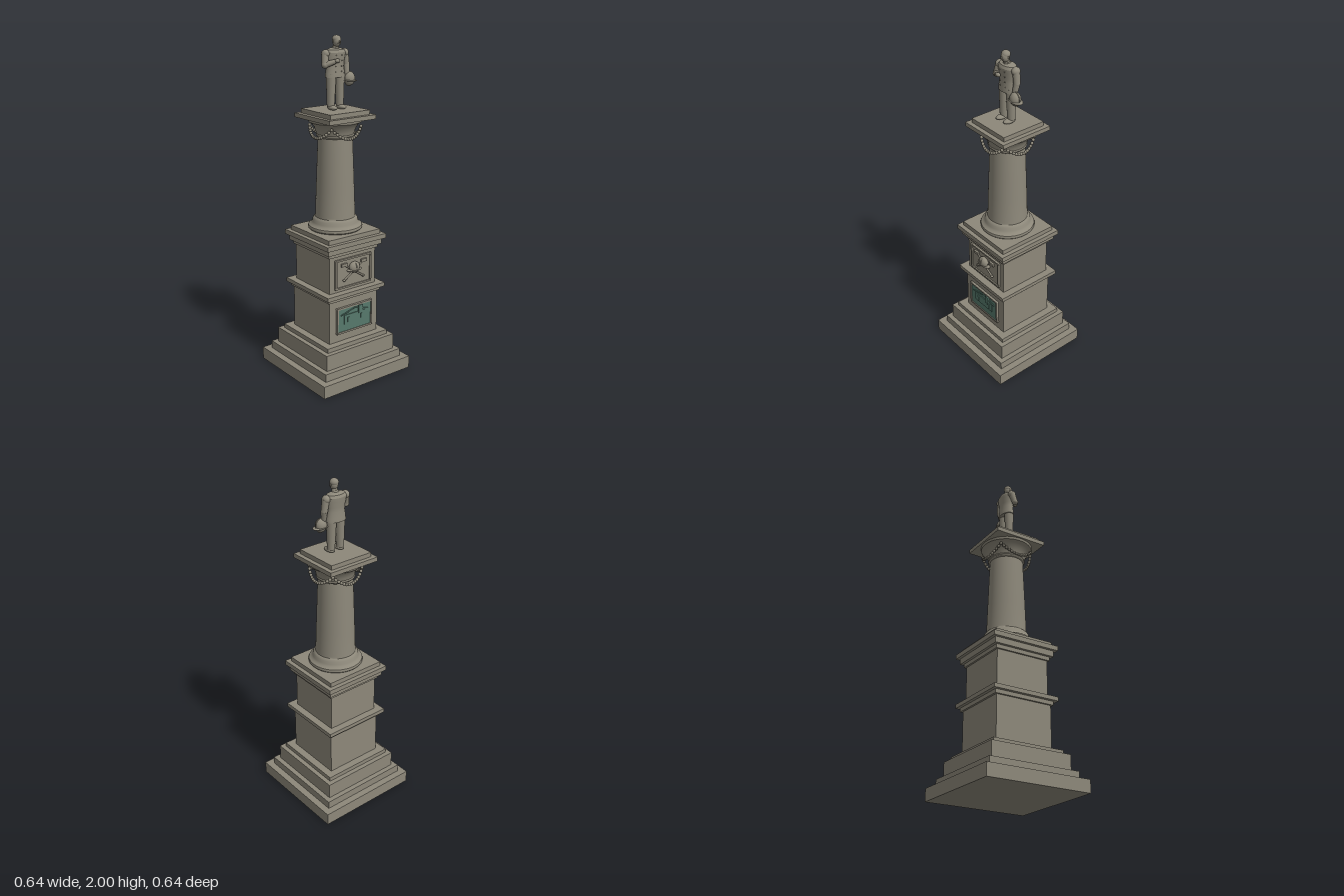
import * as THREE from 'three';
import { toCreasedNormals } from 'three/addons/utils/BufferGeometryUtils.js';

const stone = new THREE.MeshStandardMaterial({ color: 0x8d887a });
stone.name = 'stone';
const patina = new THREE.MeshStandardMaterial({ color: 0x56796c });
patina.name = 'green patina';

const V = (x, y, z) => new THREE.Vector3(x, y, z);

function add(parent, name, geometry, material = stone, x = 0, y = 0, z = 0) {
  const mesh = new THREE.Mesh(geometry, material);
  mesh.name = name;
  mesh.position.set(x, y, z);
  parent.add(mesh);
  return mesh;
}

function box(parent, name, w, h, d, x, y, z, material = stone) {
  return add(parent, name, new THREE.BoxGeometry(w, h, d), material, x, y, z);
}

function ball(parent, name, rx, ry, rz, x, y, z) {
  const mesh = add(parent, name, new THREE.SphereGeometry(1, 20, 14), stone, x, y, z);
  mesh.scale.set(rx, ry, rz);
  return mesh;
}

function lathe(points, segments = 48) {
  const geo = new THREE.LatheGeometry(points.map(([r, y]) => new THREE.Vector2(r, y)), segments);
  return toCreasedNormals(geo, 0.6);
}

// Tapered rod between two points
function rod(parent, name, a, b, ra, rb, material = stone, sides = 16) {
  const geo = new THREE.CylinderGeometry(rb, ra, a.distanceTo(b), sides);
  const mesh = add(parent, name, geo, material);
  mesh.position.copy(a).lerp(b, 0.5);
  mesh.quaternion.setFromUnitVectors(V(0, 1, 0), b.clone().sub(a).normalize());
  return mesh;
}

// Rectangular border of four bars standing in the xy plane
function frame(parent, name, w, h, bar, depth, y, z) {
  for (const s of [-1, 1]) {
    box(parent, name, w, bar, depth, 0, y + s * (h - bar) / 2, z);
    box(parent, name, bar, h - 2 * bar, depth, s * (w - bar) / 2, y, z);
    for (const t of [-1, 1]) ball(parent, name + 'Corner', bar * 0.75, bar * 0.75, depth * 0.6, s * (w - bar) / 2, y + t * (h - bar) / 2, z);
  }
}

function createPedestal() {
  const g = new THREE.Group();
  g.name = 'pedestal';
  // name, half width, bottom, top
  const blocks = [
    ['bottomStep', 0.322, 0, 0.075], ['middleStep', 0.281, 0.075, 0.122],
    ['plinth', 0.251, 0.122, 0.217], ['plinthCap', 0.223, 0.217, 0.243],
    ['lowerDie', 0.178, 0.243, 0.503], ['beltLower', 0.19, 0.503, 0.526],
    ['beltUpper', 0.21, 0.526, 0.55], ['upperDie', 0.167, 0.55, 0.772],
    ['corniceBed', 0.178, 0.772, 0.795], ['corniceMiddle', 0.195, 0.795, 0.83],
    ['corniceCrown', 0.213, 0.83, 0.858], ['corniceCap', 0.187, 0.858, 0.885],
    ['abacus', 0.165, 1.535, 1.56], ['statueBase', 0.139, 1.56, 1.586],
  ];
  for (const [name, half, y0, y1] of blocks) {
    box(g, name, half * 2, y1 - y0, half * 2, 0, (y0 + y1) / 2, 0);
  }
  return g;
}

function createColumn() {
  const g = new THREE.Group();
  g.name = 'column';
  add(g, 'shaft', lathe([
    [0, 0.885], [0.152, 0.885], [0.159, 0.892], [0.16, 0.9], [0.157, 0.908], [0.149, 0.913],
    [0.141, 0.92], [0.135, 0.93], [0.132, 0.945], [0.125, 0.955], [0.118, 0.96],
    [0.117, 0.97], [0.112, 1.12], [0.106, 1.28], [0.1, 1.43],
    [0.108, 1.435], [0.111, 1.442], [0.108, 1.45], [0.112, 1.465], [0.122, 1.49],
    [0.138, 1.51], [0.153, 1.52], [0.156, 1.536], [0, 1.536],
  ]));
  // Four bead garlands hung around the capital
  const bead = new THREE.SphereGeometry(0.0095, 10, 8);
  for (let side = 0; side < 4; side++) {
    const garland = new THREE.Group();
    garland.name = 'garland';
    garland.rotation.y = side * Math.PI / 2;
    const count = 15;
    for (let i = 0; i < count; i++) {
      const t = i / (count - 1) * 2 - 1;
      const a = t * Math.PI / 4;
      const r = 0.136 + 0.012 * t * t;
      add(garland, 'bead', bead, stone, Math.sin(a) * r, 1.435 + 0.058 * t * t, Math.cos(a) * r);
    }
    g.add(garland);
  }
  return g;
}

// Helmet emblem over a pair of crossed axes
function createEmblemPanel() {
  const g = new THREE.Group();
  g.name = 'emblemPanel';
  box(g, 'panelBack', 0.255, 0.17, 0.006, 0, 0.66, 0.169);
  frame(g, 'panelFrame', 0.264, 0.18, 0.01, 0.014, 0.66, 0.173);
  for (const s of [-1, 1]) {
    rod(g, 'axeHandle', V(-s * 0.07, 0.618, 0.178), V(s * 0.075, 0.715, 0.178), 0.006, 0.005, stone, 10);
    box(g, 'axeHead', 0.04, 0.018, 0.012, s * 0.072, 0.714, 0.18);
    ball(g, 'axeEnd', 0.01, 0.007, 0.008, -s * 0.07, 0.618, 0.178);
  }
  ball(g, 'emblemHelmet', 0.036, 0.034, 0.024, 0, 0.688, 0.184);
  ball(g, 'emblemBrim', 0.052, 0.009, 0.026, 0, 0.672, 0.182);
  ball(g, 'emblemCrest', 0.006, 0.026, 0.026, 0, 0.695, 0.184);
  return g;
}

// Green relief plate of a small building
function createReliefPanel() {
  const g = new THREE.Group();
  g.name = 'reliefPanel';
  box(g, 'reliefPlate', 0.245, 0.144, 0.012, 0, 0.375, 0.182, patina);
  frame(g, 'reliefFrame', 0.262, 0.162, 0.01, 0.018, 0.375, 0.184);
  box(g, 'wall', 0.16, 0.055, 0.006, 0, 0.378, 0.19, patina);
  for (const s of [-1, 1]) {
    rod(g, 'roofEdge', V(s * 0.1, 0.408, 0.19), V(0, 0.436, 0.19), 0.004, 0.004, patina, 8);
    box(g, 'reliefDoor', 0.014, 0.03, 0.01, s * 0.05, 0.375, 0.192, patina);
  }
  box(g, 'chimney', 0.028, 0.05, 0.014, 0.04, 0.42, 0.192, patina);
  return g;
}

function createStatue() {
  const g = new THREE.Group();
  g.name = 'statue';

  // Legs and shoes
  for (const s of [-1, 1]) {
    ball(g, 'shoe', 0.021, 0.014, 0.04, s * 0.032, 1.599, 0.014);
    rod(g, 'leg', V(s * 0.032, 1.605, 0), V(s * 0.029, 1.79, 0), 0.022, 0.03);
  }

  // Coat, deeper across than front to back
  const coat = add(g, 'coat', lathe([
    [0, 1.768], [0.064, 1.768], [0.062, 1.79], [0.056, 1.825], [0.057, 1.85],
    [0.065, 1.885], [0.067, 1.905], [0.056, 1.92], [0.03, 1.929], [0, 1.931],
  ], 32), stone, 0, 0, -0.002);
  coat.scale.z = 0.62;
  for (const s of [-1, 1]) {
    for (let i = 0; i < 4; i++) ball(g, 'button', 0.0035, 0.0035, 0.0035, s * 0.02, 1.8 + i * 0.03, 0.033 + i * 0.0015);
    ball(g, 'shoulder', 0.022, 0.023, 0.026, s * 0.066, 1.9, -0.002);
  }

  // Arm bent across the chest
  rod(g, 'rightUpperArm', V(-0.068, 1.9, -0.002), V(-0.08, 1.84, 0.012), 0.021, 0.018);
  ball(g, 'rightElbow', 0.019, 0.019, 0.019, -0.08, 1.84, 0.012);
  rod(g, 'rightForearm', V(-0.08, 1.84, 0.012), V(-0.032, 1.86, 0.046), 0.018, 0.013);
  ball(g, 'rightHand', 0.016, 0.012, 0.012, -0.021, 1.863, 0.048);

  // Hanging arm
  rod(g, 'leftUpperArm', V(0.068, 1.9, -0.002), V(0.077, 1.835, 0), 0.021, 0.019);
  ball(g, 'leftElbow', 0.019, 0.019, 0.019, 0.077, 1.835, 0);
  rod(g, 'leftForearm', V(0.077, 1.835, 0), V(0.073, 1.775, 0.012), 0.019, 0.014);
  ball(g, 'leftHand', 0.013, 0.018, 0.014, 0.07, 1.767, 0.015);

  // Helmet carried at the side
  const helmet = new THREE.Group();
  helmet.name = 'heldHelmet';
  helmet.position.set(0.09, 1.749, 0.018);
  helmet.rotation.z = -0.08;
  ball(helmet, 'helmetDome', 0.034, 0.04, 0.03, -0.004, 0.004, 0);
  ball(helmet, 'helmetBrim', 0.048, 0.006, 0.034, 0, -0.006, 0);
  ball(helmet, 'helmetCrest', 0.037, 0.043, 0.005, -0.004, 0.004, 0);
  g.add(helmet);

  // Neck and head
  rod(g, 'neck', V(0, 1.915, 0.003), V(0, 1.955, 0.01), 0.018, 0.015);
  rod(g, 'collar', V(0, 1.92, 0.002), V(0, 1.936, 0.005), 0.022, 0.019);
  ball(g, 'head', 0.023, 0.031, 0.026, 0, 1.966, 0.014);
  ball(g, 'hair', 0.025, 0.022, 0.025, 0, 1.978, 0.011);
  ball(g, 'nose', 0.004, 0.007, 0.006, 0, 1.964, 0.04);
  for (const s of [-1, 1]) {
    ball(g, 'ear', 0.004, 0.007, 0.005, s * 0.024, 1.965, 0.012);
    ball(g, 'moustache', 0.007, 0.003, 0.004, s * 0.006, 1.955, 0.037);
  }
  return g;
}

export function createModel() {
  const model = new THREE.Group();
  model.name = 'monument';
  model.add(createPedestal(), createColumn(), createEmblemPanel(), createReliefPanel(), createStatue());
  return model;
}
